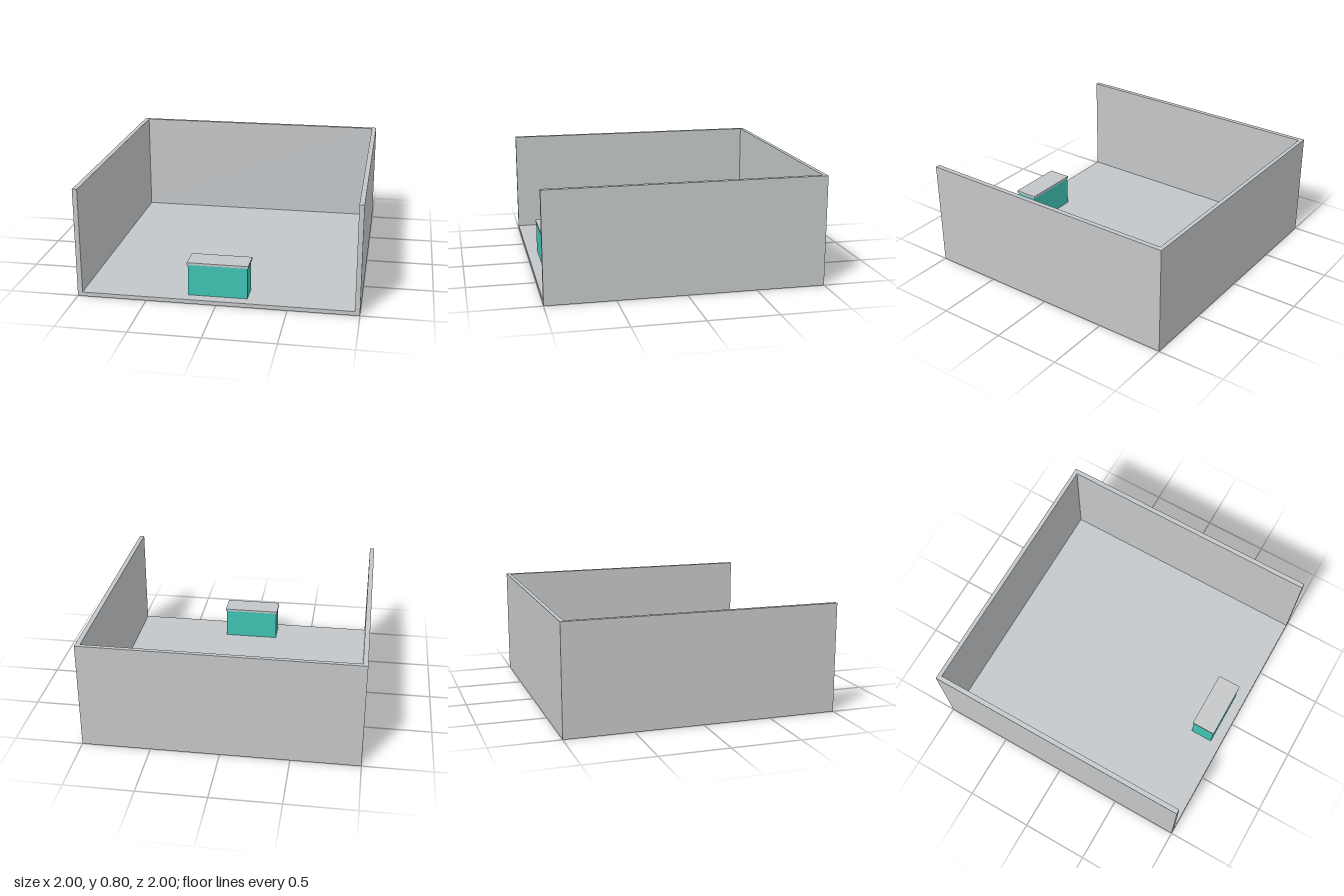
import * as THREE from 'three';

export function createModel() {
  const grey = new THREE.MeshStandardMaterial({ color: 0xc3c6c8 });
  grey.name = 'light grey';
  const teal = new THREE.MeshStandardMaterial({ color: 0x40c2b3 });
  teal.name = 'teal';

  const model = new THREE.Group();
  model.name = 'room';

  // Box given by its minimum and maximum corners
  function box(name, material, [x0, y0, z0], [x1, y1, z1], parent = model) {
    const mesh = new THREE.Mesh(new THREE.BoxGeometry(x1 - x0, y1 - y0, z1 - z0), material);
    mesh.position.set((x0 + x1) / 2, (y0 + y1) / 2, (z0 + z1) / 2);
    mesh.name = name;
    parent.add(mesh);
  }

  // Floor and side walls as one U-shaped section, open at the front
  const height = 0.8, inner = 0.965, floor = 0.03, back = -0.97;
  const section = new THREE.Shape([
    [-1, 0], [1, 0], [1, height], [inner, height],
    [inner, floor], [-inner, floor], [-inner, height], [-1, height],
  ].map(([x, y]) => new THREE.Vector2(x, y)));
  const shell = new THREE.Mesh(
    new THREE.ExtrudeGeometry(section, { depth: 1 - back, bevelEnabled: false }), grey);
  shell.position.z = back;
  shell.name = 'floorAndSideWalls';
  model.add(shell);

  box('backWall', grey, [-1, 0, -1], [1, height, back]);

  // Counter near the open front
  const counter = new THREE.Group();
  counter.name = 'counter';
  model.add(counter);
  box('counterBody', teal, [-0.213, floor, 0.75], [0.21, 0.26, 0.92], counter);
  box('counterTop', grey, [-0.22, 0.26, 0.745], [0.217, 0.277, 0.925], counter);

  return model;
}
